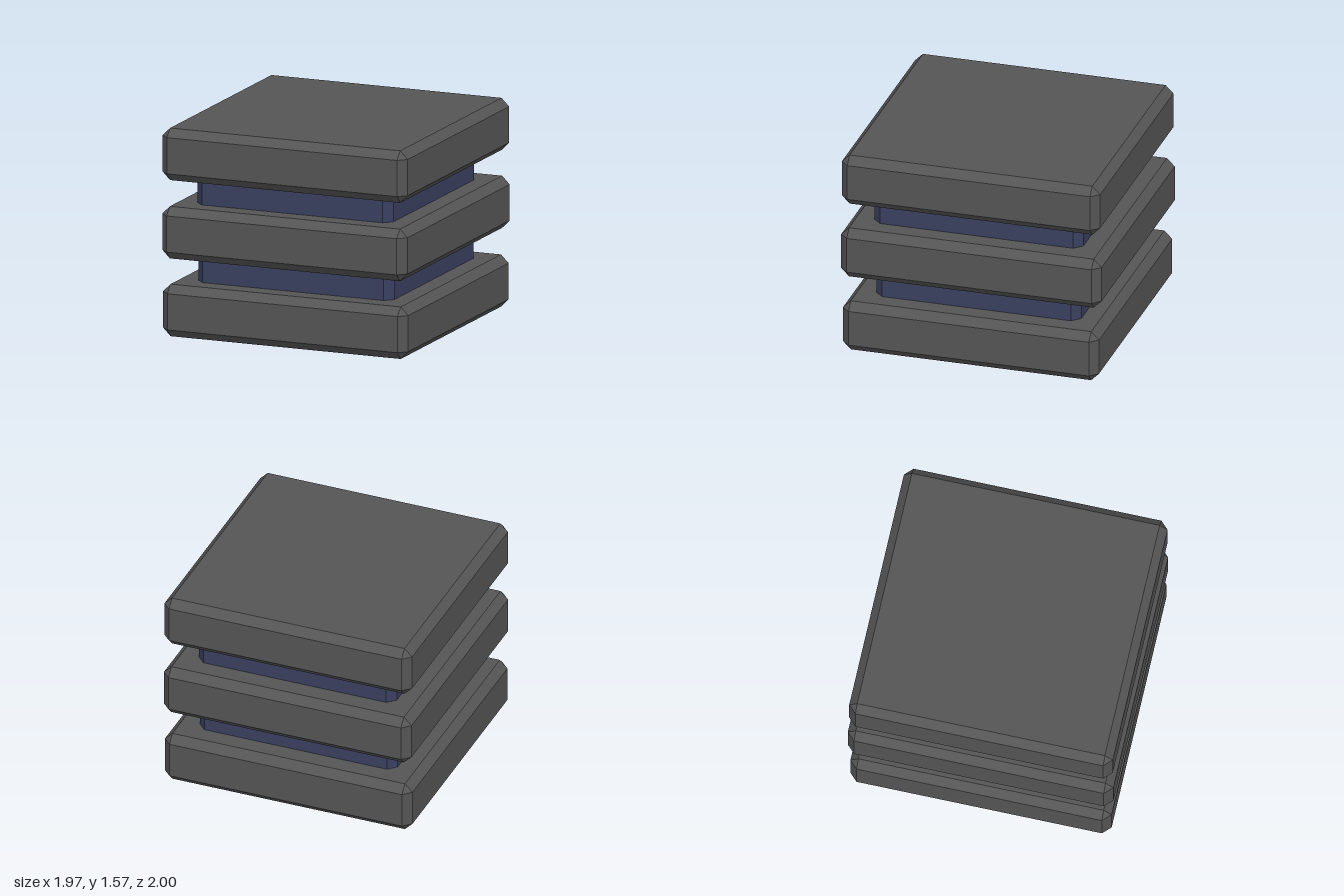
import * as THREE from 'three';
import { ConvexGeometry } from 'three/addons/geometries/ConvexGeometry.js';

const BEVEL = 0.06;

// Box with every edge chamfered and a small triangle at each corner
function chamferedBox(w, h, d, b) {
  const points = [];
  for (const sx of [-1, 1]) for (const sy of [-1, 1]) for (const sz of [-1, 1]) {
    const x = w / 2, y = h / 2, z = d / 2;
    points.push(
      new THREE.Vector3(sx * x, sy * (y - b), sz * (z - b)),
      new THREE.Vector3(sx * (x - b), sy * y, sz * (z - b)),
      new THREE.Vector3(sx * (x - b), sy * (y - b), sz * z)
    );
  }
  return new ConvexGeometry(points);
}

export function createModel() {
  const group = new THREE.Group();
  const slabMaterial = new THREE.MeshStandardMaterial({ color: 0x555555, flatShading: true });
  const coreMaterial = new THREE.MeshStandardMaterial({ color: 0x3a4060, flatShading: true });

  function addBlock(name, w, h, d, y, z, material) {
    const mesh = new THREE.Mesh(chamferedBox(w, h, d, BEVEL), material);
    mesh.name = name;
    mesh.position.set(0, y, z);
    group.add(mesh);
  }

  // Three wide slabs, slightly different in depth
  addBlock('bottomSlab', 1.965, 0.393, 1.967, 0.197, 0.003, slabMaterial);
  addBlock('middleSlab', 1.965, 0.393, 2.0, 0.787, 0, slabMaterial);
  addBlock('topSlab', 1.965, 0.393, 1.985, 1.377, 0.003, slabMaterial);

  // Narrower cores, sunk into the slabs above and below
  addBlock('lowerCore', 1.57, 0.393, 1.573, 0.492, 0.002, coreMaterial);
  addBlock('upperCore', 1.57, 0.393, 1.605, 1.082, 0.002, coreMaterial);

  return group;
}
